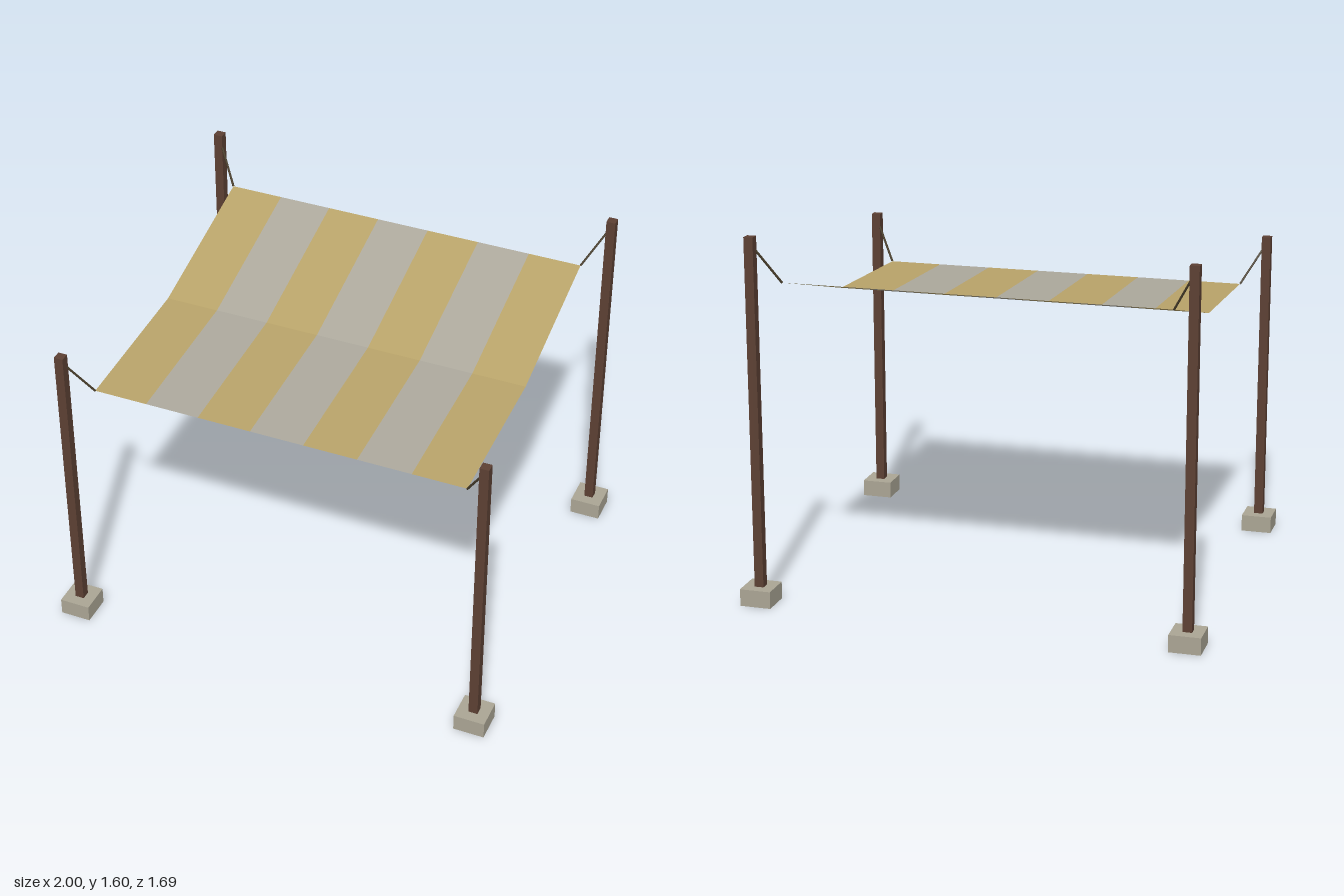
import * as THREE from 'three';

const mat = (name, color, extra = {}) => {
  const m = new THREE.MeshStandardMaterial({ color, ...extra });
  m.name = name;
  return m;
};

export function createModel() {
  const wood = mat('dark wood', 0x5c4033);
  const concrete = mat('concrete', 0xaaa594);
  const rope = mat('rope', 0x4a3f2c);
  const tan = mat('tan canvas', 0xb8a369, { side: THREE.DoubleSide });
  const grey = mat('grey canvas', 0xaca89c, { side: THREE.DoubleSide });

  const model = new THREE.Group();
  model.name = 'shadeCanopy';
  const add = (name, geometry, material, parent = model) => {
    const mesh = new THREE.Mesh(geometry, material);
    mesh.name = name;
    parent.add(mesh);
    return mesh;
  };

  const postX = 0.932, postZ = 0.775;
  const clothX = 0.83, clothZ = 0.69;
  const frontY = 1.18, middleY = 1.21, backY = 1.39;

  // Four corners: footing, post and tie rope; the back pair is taller
  for (const sz of [1, -1]) {
    for (const sx of [1, -1]) {
      const corner = new THREE.Group();
      corner.name = (sz > 0 ? 'front' : 'back') + (sx > 0 ? 'Left' : 'Right') + 'Corner';
      model.add(corner);
      const clothY = sz > 0 ? frontY : backY;
      const height = clothY + 0.207;

      add('footing', new THREE.BoxGeometry(0.136, 0.075, 0.136), concrete, corner)
        .position.set(sx * postX, 0.0375, sz * postZ);
      add('post', new THREE.BoxGeometry(0.04, height, 0.04), wood, corner)
        .position.set(sx * postX, height / 2, sz * postZ);

      const line = new THREE.LineCurve3(
        new THREE.Vector3(sx * postX, height - 0.03, sz * postZ),
        new THREE.Vector3(sx * clothX, clothY, sz * clothZ)
      );
      add('tieRope', new THREE.TubeGeometry(line, 1, 0.005, 6), rope, corner);
    }
  }

  // Striped cloth, folded once across the middle
  const cloth = new THREE.Group();
  cloth.name = 'cloth';
  model.add(cloth);
  const stripes = 7, width = (2 * clothX) / stripes;
  for (let i = 0; i < stripes; i++) {
    const plane = new THREE.PlaneGeometry(width, 2 * clothZ, 1, 2).rotateX(-Math.PI / 2);
    const p = plane.attributes.position;
    for (let v = 0; v < p.count; v++) {
      const z = p.getZ(v);
      p.setY(v, Math.abs(z) < 0.01 ? middleY : z > 0 ? frontY : backY);
    }
    // Separate faces keep the fold crisp
    const stripe = plane.toNonIndexed();
    stripe.computeVertexNormals();
    add('clothStripe', stripe, i % 2 ? grey : tan, cloth)
      .position.x = -clothX + (i + 0.5) * width;
  }

  return model;
}
